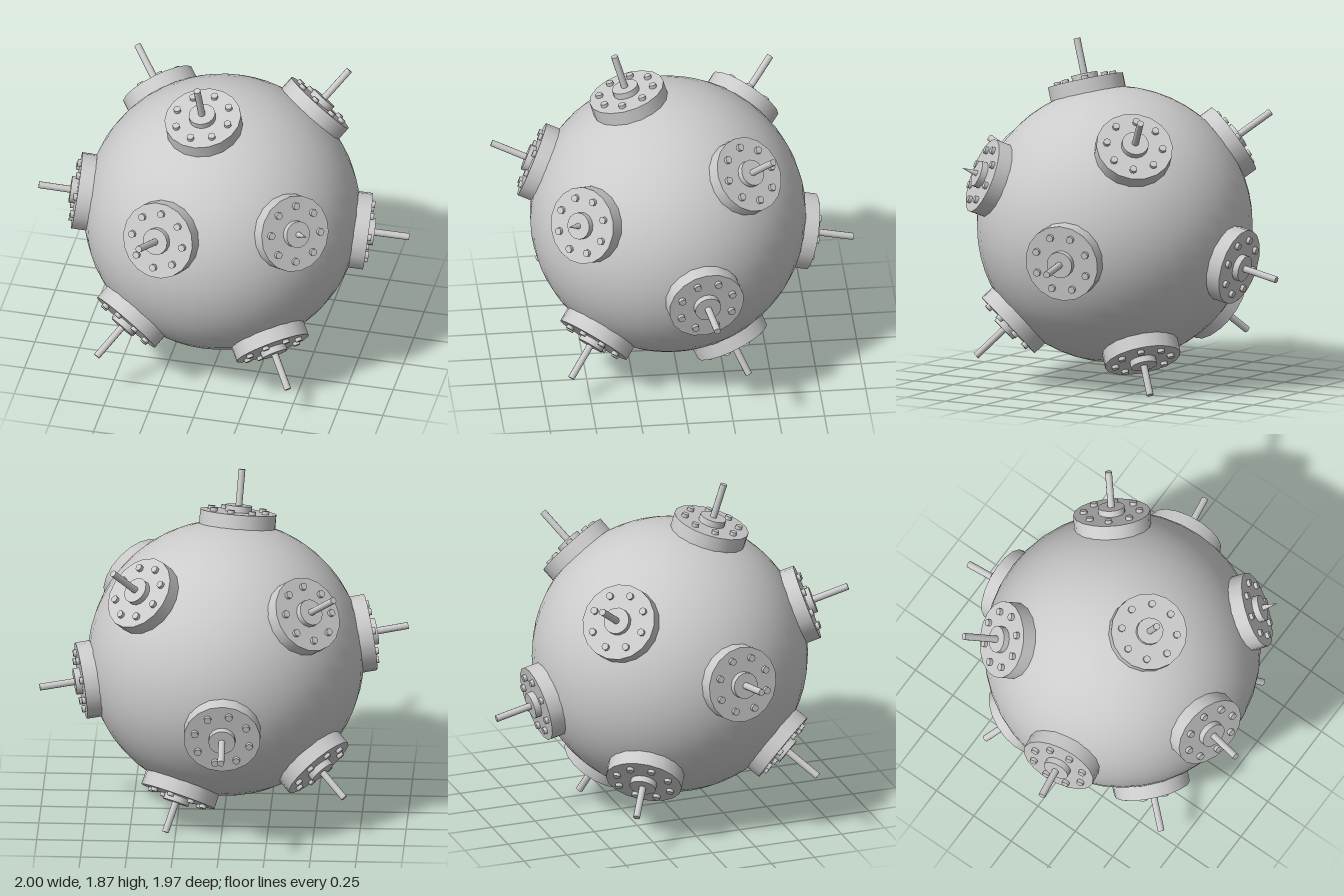
import * as THREE from 'three';

const material = new THREE.MeshStandardMaterial({ color: 0xcccccc });

// Rod tips measured from the ball's centre: x, y, z
const TIPS = [
  [-0.075, 0.99, 0.285], [-0.25, 0.36, 0.94], [0.61, 0.345, 0.605], [-0.985, 0.14, 0.168],
  [1.005, -0.125, -0.17], [-0.55, -0.6, 0.654], [0.5, -0.705, 0.58], [-0.665, -0.637, -0.44],
  [0.59, 0.68, -0.517], [-0.615, 0.585, -0.62], [-0.02, -0.225, -1.014], [0.31, -0.865, -0.41],
];
const SPIKE = 2; // this one ends in a short point instead of a rod

// Upright cylinder spanning the heights y0 to y1
function cylinder(name, radius, y0, y1, sides, topRadius = radius) {
  const geometry = new THREE.CylinderGeometry(topRadius, radius, y1 - y0, sides);
  geometry.translate(0, (y0 + y1) / 2, 0);
  const mesh = new THREE.Mesh(geometry, material);
  mesh.name = name;
  return mesh;
}

// Flange, hub, ring of bolts and rod, built along +y and turned to face the tip
function createFuse(tip, pointed) {
  const fuse = new THREE.Group();
  fuse.name = 'fuse';
  const length = tip.length();
  fuse.add(cylinder('flange', 0.21, 0.705, 0.8, 18));
  fuse.add(cylinder('hub', 0.073, 0.79, 0.835, 16));
  fuse.add(cylinder(pointed ? 'spike' : 'rod', 0.019, 0.82, length, 10, pointed ? 0 : 0.019));
  for (let i = 0; i < 8; i++) {
    const angle = (i + 0.3) * Math.PI / 4;
    const bolt = cylinder('bolt', 0.02, 0.79, 0.819, 8);
    bolt.position.set(0.153 * Math.cos(angle), 0, 0.153 * Math.sin(angle));
    fuse.add(bolt);
  }
  fuse.quaternion.setFromUnitVectors(new THREE.Vector3(0, 1, 0), tip.clone().normalize());
  return fuse;
}

export function createModel() {
  const model = new THREE.Group();
  model.name = 'navalMine';
  const body = new THREE.Group();
  body.name = 'body';
  body.position.set(-0.005, 0.88, 0.03);
  model.add(body);

  // Ball
  const ball = new THREE.Mesh(new THREE.SphereGeometry(0.752, 40, 28), material);
  ball.name = 'ball';
  body.add(ball);

  // Fuses all around
  TIPS.forEach((t, i) => body.add(createFuse(new THREE.Vector3(...t), i === SPIKE)));
  return model;
}
